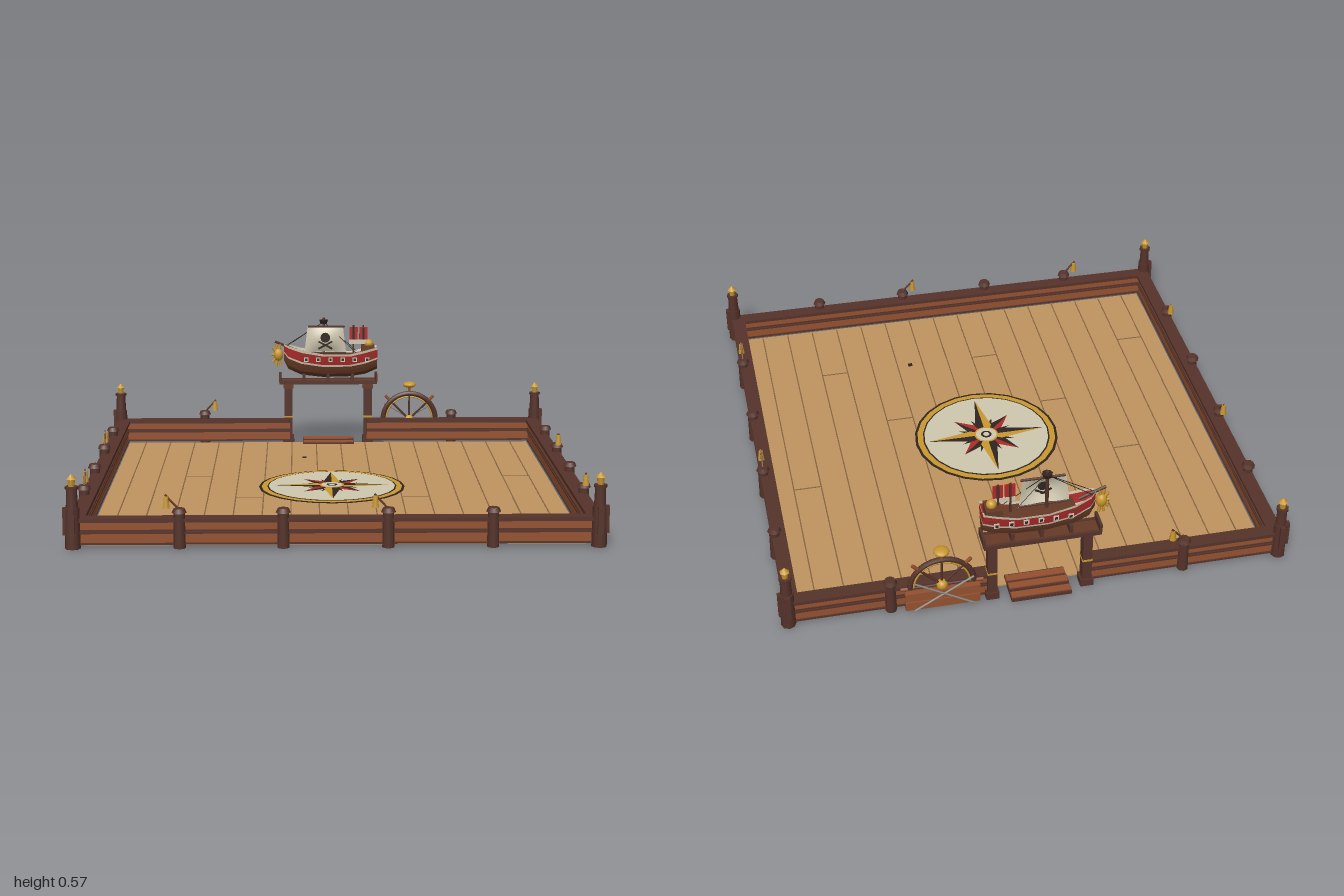
import * as THREE from 'three';

const mat = (name, color, side = THREE.FrontSide) => {
  const m = new THREE.MeshStandardMaterial({ color, side });
  m.name = name;
  return m;
};

export function createModel() {
  const root = new THREE.Group();
  const DS = THREE.DoubleSide;
  const tan = mat('deckTan', 0xc09560), seam = mat('seamBrown', 0x866542);
  const dark = mat('darkWood', 0x55332a), rail = mat('railBrown', 0x95512f);
  const gold = mat('gold', 0xc9982f, DS), cream = mat('cream', 0xd0c8b0, DS);
  const red = mat('red', 0xb02a2a, DS), black = mat('nearBlack', 0x2e241f, DS);
  const steel = mat('steel', 0x8f8c84), hullWood = mat('hullBrown', 0x653a26, DS);
  const CZ = 0.0125, SX = 0.925, SZ = 0.94;

  const add = (name, geo, m, x = 0, y = 0, z = 0, parent = root) => {
    const o = new THREE.Mesh(geo, m);
    o.name = name;
    o.position.set(x, y, z);
    parent.add(o);
    return o;
  };
  const box = (name, m, w, h, d, x, y, z, p) => add(name, new THREE.BoxGeometry(w, h, d), m, x, y, z, p);
  const cyl = (name, m, r0, r1, h, x, y, z, p, n = 8) =>
    add(name, new THREE.CylinderGeometry(r0, r1, h, n), m, x, y, z, p);
  // Round bar between two points
  const bar = (name, m, a, b, r, p = root) => {
    const A = new THREE.Vector3(...a), B = new THREE.Vector3(...b), d = B.clone().sub(A);
    const o = cyl(name, m, r, r, d.length(), 0, 0, 0, p, 6);
    o.position.copy(A).add(B).multiplyScalar(0.5);
    o.quaternion.setFromUnitVectors(new THREE.Vector3(0, 1, 0), d.normalize());
    return o;
  };

  // Deck with plank seams, end joints and pegs
  box('deck', tan, 1.8, 0.006, 1.81, 0, 0.003, CZ);
  for (let i = 0; i < 8; i++) for (const s of [-1, 1])
    box('plankSeam', seam, 0.005, 0.001, 1.8, s * (0.055 + 0.11 * i), 0.0063, CZ);
  for (const [x, z] of [[-0.55, -0.175], [0.77, -0.175], [-0.33, 0.2], [0.33, 0.2], [-0.77, 0.575], [-0.11, 0.575], [0.55, 0.575]])
    box('plankJoint', seam, 0.11, 0.001, 0.006, x, 0.0063, z);
  for (const [x, z] of [[-0.11, -0.55], [0.22, 0.575]]) box('deckPeg', black, 0.018, 0.004, 0.018, x, 0.007, z);

  // Compass rose: stacked thin discs and a two-tone star
  const rose = new THREE.Group();
  rose.name = 'compassRose';
  rose.position.z = CZ;
  root.add(rose);
  [[0.296, black], [0.286, gold], [0.263, black], [0.257, cream]].forEach(([r, m], i) =>
    cyl('roseDisc', m, r, r, 0.002, 0, 0.007 + i * 0.001, 0, rose, 24));
  const half = (len, w, inner, side) => {
    const s = new THREE.Shape();
    s.moveTo(0, 0);
    s.lineTo(0, len);
    s.lineTo(side * w, inner);
    s.closePath();
    return new THREE.ShapeGeometry(s).rotateX(-Math.PI / 2);
  };
  const star = (n, turn, len, w, inner, mA, mB, y) => {
    for (let i = 0; i < n; i++) [[1, mA], [-1, mB]].forEach(([side, m]) => {
      add('starPoint', half(len, w, inner, side), m, 0, y, 0, rose).rotation.y = turn + i * Math.PI * 2 / n;
    });
  };
  star(8, Math.PI / 8, 0.115, 0.014, 0.04, black, black, 0.0115);
  star(4, Math.PI / 4, 0.16, 0.03, 0.06, red, black, 0.0122);
  star(4, 0, 0.24, 0.034, 0.06, gold, black, 0.0129);
  [[0.05, gold], [0.043, cream], [0.022, black], [0.013, cream]].forEach(([r, m], i) =>
    cyl('roseCentre', m, r, r, 0.001, 0, 0.0135 + i * 0.0006, 0, rose, 16));

  // Railings: [height, centre y, thickness, material]
  const layers = [[0.014, 0.102, 0.055, dark], [0.03, 0.08, 0.034, rail], [0.005, 0.0645, 0.04, dark],
    [0.006, 0.056, 0.046, dark], [0.034, 0.036, 0.034, rail], [0.006, 0.016, 0.046, dark]];
  const fence = (len, x, z, alongX) => layers.forEach(([h, y, t, m]) =>
    box('railing', m, alongX ? len : t, h, alongX ? t : len, x, y, z));
  fence(1.85, 0, CZ + SZ - 0.015, true);
  for (const s of [-1, 1]) {
    fence(1.85, s * SX, CZ, false);
    fence(0.75, s * 0.55, CZ - SZ + 0.012, true);
  }

  // Posts, some with a tilted bracket and hanging lantern
  const post = (x, z, dx = 0, dz = 0) => {
    cyl('railPost', dark, 0.02, 0.022, 0.13, x, 0.065, z);
    cyl('postCap', dark, 0.02, 0.027, 0.016, x, 0.137, z);
    if (!dx && !dz) return;
    bar('lanternArm', hullWood, [x, 0.14, z], [x + dx * 0.05, 0.195, z + dz * 0.05], 0.004);
    cyl('lantern', gold, 0.008, 0.014, 0.042, x + dx * 0.046, 0.168, z + dz * 0.046, root, 6);
  };
  for (const x of [-0.56, -0.19, 0.185, 0.56])
    post(x, 0.955, x === -0.56 || x === 0.185 ? -1 : 0);
  post(-0.56, -0.932, 1);
  post(0.56, -0.932);
  for (const s of [-1, 1]) [-0.55, -0.175, 0.2, 0.575].forEach((z, i) => post(s * 0.94, z, 0, i % 2 ? s : 0));

  // Corner posts with gold lamps
  for (const x of [-1, 1]) for (const z of [-1, 1]) {
    const c = new THREE.Group();
    c.name = 'cornerPost';
    c.position.set(x * 0.94, 0, CZ + z * 0.943);
    root.add(c);
    cyl('cornerBase', dark, 0.026, 0.028, 0.15, 0, 0.075, 0, c);
    cyl('cornerUpper', dark, 0.019, 0.022, 0.07, 0, 0.185, 0, c);
    cyl('cornerCap', dark, 0.024, 0.024, 0.01, 0, 0.222, 0, c);
    cyl('cornerLamp', gold, 0.015, 0.012, 0.026, 0, 0.24, 0, c, 6);
    cyl('lampRoof', gold, 0.002, 0.019, 0.018, 0, 0.262, 0, c, 6);
    box('cornerBracketX', dark, 0.014, 0.1, 0.02, x * 0.027, 0.1, 0, c);
    box('cornerBracketZ', dark, 0.02, 0.1, 0.014, 0, 0.1, z * 0.027, c);
  }

  // Gate: posts, platform and steps
  const GZ = -0.945;
  for (const s of [-1, 1]) {
    box('gatePost', dark, 0.036, 0.27, 0.04, s * 0.18, 0.135, -0.932);
    box('gatePostFoot', dark, 0.05, 0.03, 0.052, s * 0.18, 0.015, -0.932);
    box('gatePostBand', gold, 0.039, 0.008, 0.043, s * 0.18, 0.12, -0.932);
    box('gatePostHead', hullWood, 0.046, 0.02, 0.05, s * 0.18, 0.26, -0.932);
    box('platformEnd', dark, 0.01, 0.035, 0.08, s * 0.218, 0.297, GZ);
    box('platformRim', dark, 0.44, 0.016, 0.012, 0, 0.278, GZ + s * 0.036);
  }
  box('platform', hullWood, 0.44, 0.012, 0.07, 0, 0.277, GZ);
  for (const x of [-0.11, 0, 0.11]) box('shipCradle', dark, 0.014, 0.035, 0.05, x, 0.297, GZ);
  for (const [z, y] of [[-0.87, 0.012], [-0.92, 0.018], [-0.965, 0.012]]) {
    box('gateStep', dark, 0.23, y, 0.046, 0, y / 2, z);
    box('gateTread', rail, 0.225, 0.005, 0.03, 0, y + 0.002, z);
  }

  // Half ship's wheel on a panel, with crossed blades behind
  const wheel = new THREE.Group();
  wheel.name = 'shipWheel';
  wheel.position.set(0.37, 0.1, GZ);
  root.add(wheel);
  add('wheelRim', new THREE.TorusGeometry(0.12, 0.011, 6, 24, Math.PI), dark, 0, 0, 0, wheel);
  add('wheelTrim', new THREE.TorusGeometry(0.105, 0.004, 5, 24, Math.PI), gold, 0, 0, 0, wheel);
  for (let i = 0; i <= 4; i++) {
    const a = i * Math.PI / 4, c = Math.cos(a), s = Math.sin(a);
    bar('wheelSpoke', dark, [0, 0, 0], [c * 0.12, s * 0.12, 0], 0.005, wheel);
    bar('wheelHandle', rail, [c * 0.125, s * 0.125, 0], [c * 0.155, s * 0.155, 0], 0.007, wheel);
  }
  add('wheelHub', new THREE.SphereGeometry(0.022, 10, 8), gold, 0, 0, 0, wheel);
  add('wheelTopKnob', new THREE.SphereGeometry(0.03, 12, 8).scale(1, 0.45, 1), gold, 0, 0.16, 0, wheel);
  for (const y of [-0.07, -0.028]) box('wheelPanel', rail, 0.28, 0.036, 0.02, 0, y, -0.012, wheel);
  for (const s of [-1, 1]) bar('blade', steel, [-0.11, -0.065 * s, -0.051], [0.11, 0.065 * s, -0.051], 0.004, wheel);

  // Ship hull lofted from stations: [x, keel y, sheer y, half width]
  const ship = new THREE.Group();
  ship.name = 'ship';
  ship.position.z = GZ;
  root.add(ship);
  const stations = [[-0.2, 0.375, 0.45, 0.01], [-0.18, 0.335, 0.443, 0.025], [-0.12, 0.308, 0.425, 0.04], [-0.02, 0.297, 0.408, 0.047],
    [0.1, 0.3, 0.408, 0.047], [0.17, 0.312, 0.425, 0.045], [0.222, 0.335, 0.438, 0.04]];
  const at = ([x, k, t, w], f, s) => [x, k + (t - k) * f, s * w * Math.pow(f, 0.4)];
  const band = (name, f0, f1, m) => {
    const pts = [], quad = (a, b, c, d) => pts.push(...a, ...b, ...c, ...a, ...c, ...d);
    const fs = [0, 1, 2, 3].map(i => f0 + (f1 - f0) * i / 3);
    for (let j = 0; j < 3; j++) {
      for (let i = 0; i + 1 < stations.length; i++) for (const s of [-1, 1]) {
        const A = s > 0 ? stations[i] : stations[i + 1], B = s > 0 ? stations[i + 1] : stations[i];
        quad(at(A, fs[j], s), at(B, fs[j], s), at(B, fs[j + 1], s), at(A, fs[j + 1], s));
      }
      for (const e of [stations[0], stations[6]])
        quad(at(e, fs[j], 1), at(e, fs[j], -1), at(e, fs[j + 1], -1), at(e, fs[j + 1], 1));
    }
    const g = new THREE.BufferGeometry();
    g.setAttribute('position', new THREE.Float32BufferAttribute(pts, 3));
    g.computeVertexNormals();
    add(name, g, m, 0, 0, 0, ship);
  };
  band('hullBottom', 0, 0.46, hullWood);
  band('hullStripe', 0.46, 0.54, cream);
  band('hullSide', 0.54, 0.9, red);
  band('hullTrim', 0.9, 1, cream);
  box('shipDeck', hullWood, 0.33, 0.006, 0.078, 0.04, 0.4, 0, ship);
  box('sternCastle', hullWood, 0.06, 0.035, 0.07, 0.18, 0.425, 0, ship);
  for (const s of [-1, 1]) for (let i = 0; i < 6; i++) {
    const x = -0.1 + i * 0.055;
    box('gunPort', cream, 0.02, 0.02, 0.004, x, 0.383, s * 0.046, ship);
    box('gunPortHole', black, 0.011, 0.011, 0.006, x, 0.383, s * 0.046, ship);
  }

  // Figurehead and bowsprit
  add('figurehead', new THREE.SphereGeometry(0.024, 10, 8).scale(0.9, 1.2, 0.8), gold, -0.225, 0.4, 0, ship);
  for (let i = 0; i < 7; i++) {
    const a = Math.PI * (0.4 + i * 0.2);
    bar('figureheadRay', gold, [-0.225, 0.4, 0], [-0.225 + Math.cos(a) * 0.032, 0.4 + Math.sin(a) * 0.055, 0], 0.006, ship);
  }
  bar('bowsprit', dark, [-0.14, 0.42, 0], [-0.24, 0.46, 0], 0.006, ship);

  // Mast, crow's nest, yards and rigging
  bar('mast', dark, [-0.02, 0.39, 0], [-0.02, 0.568, 0], 0.007, ship);
  cyl('crowsNest', black, 0.02, 0.014, 0.018, -0.02, 0.55, 0, ship);
  bar('upperYard', dark, [-0.09, 0.53, 0.012], [0.075, 0.53, 0.012], 0.005, ship);
  bar('lowerYard', dark, [-0.11, 0.41, 0.012], [0.08, 0.41, 0.012], 0.004, ship);
  for (const s of [-1, 1]) {
    bar('bowRigging', black, [-0.02, 0.55, 0], [-0.19, 0.44, s * 0.015], 0.0014, ship);
    bar('sternRigging', black, [-0.02, 0.55, 0], [0.13, 0.41, s * 0.04], 0.0014, ship);
  }

  // Billowing sail with a plain dark mark on both faces
  const sail = new THREE.PlaneGeometry(1, 1, 10, 8), p = sail.attributes.position;
  for (let i = 0; i < p.count; i++) {
    const u = p.getX(i), v = p.getY(i) + 0.5;
    p.setXYZ(i, -0.013 + u * (0.19 - 0.03 * v), 0.405 + 0.125 * v - 0.012 * (1 - v) * (1 - 4 * u * u) * -1,
      0.012 + 0.02 * Math.sin(Math.PI * v) * Math.cos(Math.PI * u));
  }
  sail.computeVertexNormals();
  add('sail', sail, cream, 0, 0, 0, ship);
  for (const z of [0.036, 0.027]) {
    add('sailMark', new THREE.CircleGeometry(0.022, 12), black, -0.013, 0.482, z, ship);
    for (const s of [-1, 1])
      box('sailMarkBar', black, 0.07, 0.007, 0.003, -0.013, 0.448, z, ship).rotation.z = s * 0.5;
  }

  // Stern flags and lantern
  for (const x of [0.115, 0.16]) {
    bar('flagPole', dark, [x, 0.4, 0], [x, 0.535, 0], 0.004, ship);
    box('sternFlag', red, 0.038, 0.055, 0.006, x, 0.498, 0.006, ship);
    box('sternFlagStripe', black, 0.01, 0.055, 0.009, x, 0.498, 0.006, ship);
  }
  box('sternSail', cream, 0.085, 0.02, 0.005, 0.138, 0.459, 0.006, ship);
  add('sternLantern', new THREE.SphereGeometry(0.02, 10, 8), gold, 0.185, 0.45, 0, ship);
  return root;
}
